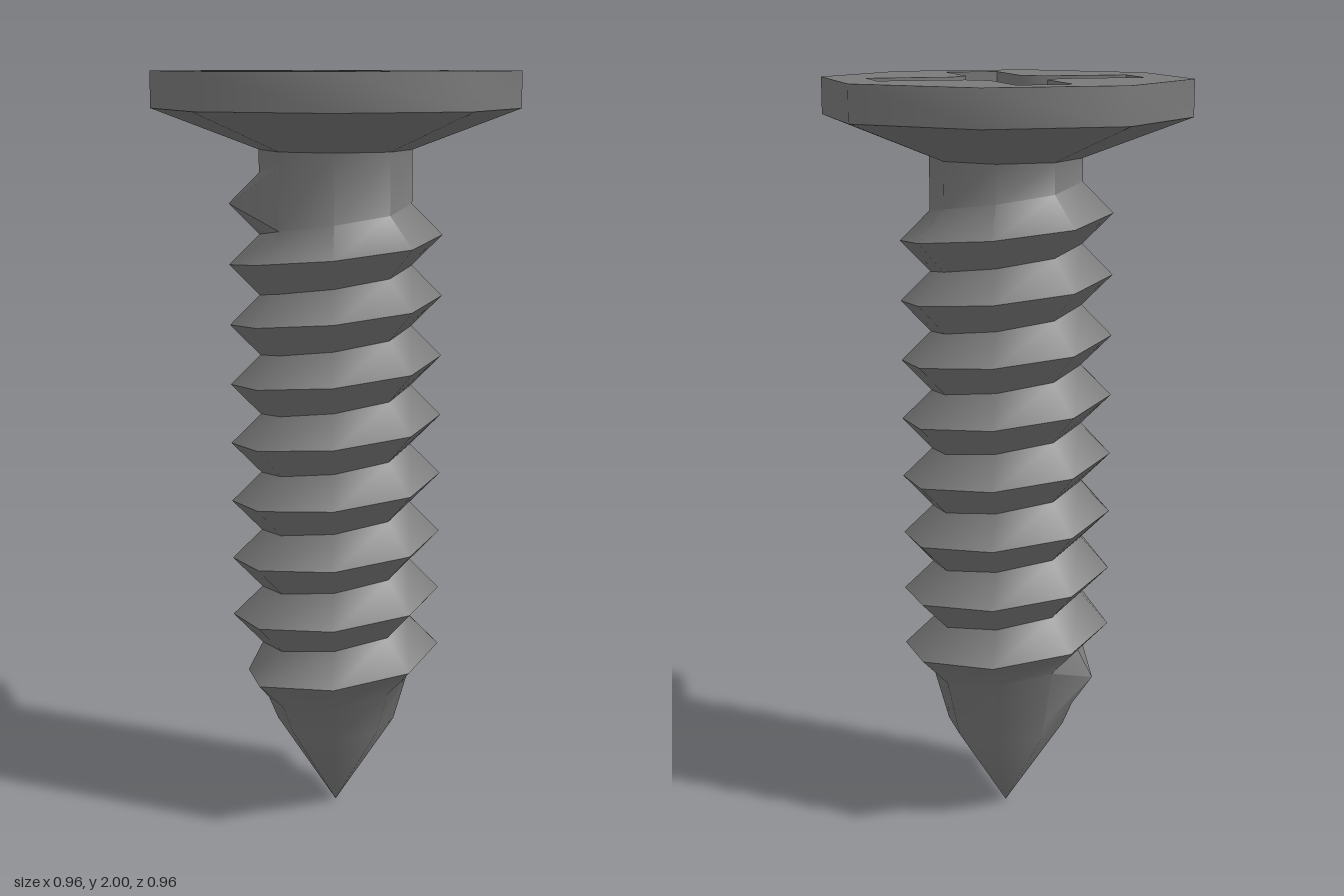
import * as THREE from 'three';
import { toCreasedNormals } from 'three/addons/utils/BufferGeometryUtils.js';

const SIDES = 8, CORE = 0.2, CREST = 0.28, HEAD = 0.48;
const STEP = 0.02;            // rise per eighth of a turn (pitch 0.16)
const LAST = 66;              // step at which the thread runs out
const CREASE = 0.9;

const material = new THREE.MeshStandardMaterial({ color: 0x7a7a7a });

function addMesh(group, name, geometry) {
  const mesh = new THREE.Mesh(toCreasedNormals(geometry, CREASE), material);
  mesh.name = name;
  group.add(mesh);
}

// Point at helix step k, with radius r and height y
function at(k, r, y) {
  const a = (5 * Math.PI) / 4 + (k * Math.PI * 2) / SIDES;
  return [r * Math.sin(a), y, r * Math.cos(a)];
}

// Valley line of the thread, narrowing a little where it meets the tip
function root(k) {
  const r = k < 3 ? [0.168, 0.185, 0.195][k] : CORE;
  return at(k, r, 0.28 + STEP * k);
}

// Crest line: starts in the valley above it and ends in the valley below it
function crest(k) {
  if (k === 0) return root(SIDES);
  if (k === LAST) return root(LAST);
  return at(k, k === 1 ? 0.24 : CREST, 0.36 + STEP * k);
}

// Strip of quads between a lower and an upper line, facing outwards
function strip(lower, upper, from, to) {
  const p = [];
  for (let k = from; k < to; k++) {
    const a = lower(k), b = lower(k + 1), c = upper(k + 1), d = upper(k);
    p.push(...a, ...b, ...c, ...a, ...c, ...d);
  }
  return p;
}

// Cross recess: one quarter repeated four times
function crossPoints() {
  const quarter = [[0.295, -0.2], [0.348, -0.066], [0.143, 0.02], [0.115, 0.087]];
  const points = [];
  for (let i = 0; i < 4; i++) {
    for (const [x, z] of quarter) {
      const v = new THREE.Vector2(x, z).rotateAround(new THREE.Vector2(), (i * Math.PI) / 2);
      points.push(new THREE.Vector2(v.x, -v.y));
    }
  }
  return points;
}

export function createModel() {
  const group = new THREE.Group();
  group.name = 'screw';

  // Pointed tip, threaded shank and plain neck in one skin; the run-outs of
  // the thread leave a triangle at each end instead of a quad
  const tipRing = (k) => at(k, 0.16, 0.24);
  const apex = () => [0, 0, 0];
  const skin = [
    ...strip(apex, tipRing, 0, SIDES),
    ...strip(tipRing, root, 0, SIDES),
    ...strip(root, crest, 0, LAST),
    ...strip(crest, (k) => root(k + SIDES), 0, LAST),
    ...strip(root, (k) => at(k, CORE, 1.8), LAST, LAST + SIDES),
  ];
  // Keep only triangles with area
  const positions = [];
  const tri = new THREE.Triangle();
  for (let i = 0; i < skin.length; i += 9) {
    tri.a.fromArray(skin, i);
    tri.b.fromArray(skin, i + 3);
    tri.c.fromArray(skin, i + 6);
    if (tri.getArea() > 1e-7) positions.push(...skin.slice(i, i + 9));
  }
  const shank = new THREE.BufferGeometry();
  shank.setAttribute('position', new THREE.Float32BufferAttribute(positions, 3));
  addMesh(group, 'shank', shank);

  // Sloping underside of the head
  const slope = [new THREE.Vector2(CORE, 1.8), new THREE.Vector2(HEAD, 1.905)];
  addMesh(group, 'headUnderside', new THREE.LatheGeometry(slope, SIDES));

  // Octagonal head with the recess cut through
  const outline = [];
  for (let i = 0; i < SIDES; i++) {
    const a = (i * Math.PI * 2) / SIDES;
    outline.push(new THREE.Vector2(HEAD * Math.cos(a), HEAD * Math.sin(a)));
  }
  const plate = new THREE.Shape(outline);
  plate.holes.push(new THREE.Path(crossPoints()));
  const head = new THREE.ExtrudeGeometry(plate, { depth: 0.095, bevelEnabled: false });
  head.rotateX(-Math.PI / 2).translate(0, 1.905, 0);
  addMesh(group, 'head', head);

  // Floor of the recess
  const floor = new THREE.ShapeGeometry(new THREE.Shape(crossPoints()));
  floor.rotateX(-Math.PI / 2).translate(0, 1.92, 0);
  addMesh(group, 'recessFloor', floor);

  return group;
}
